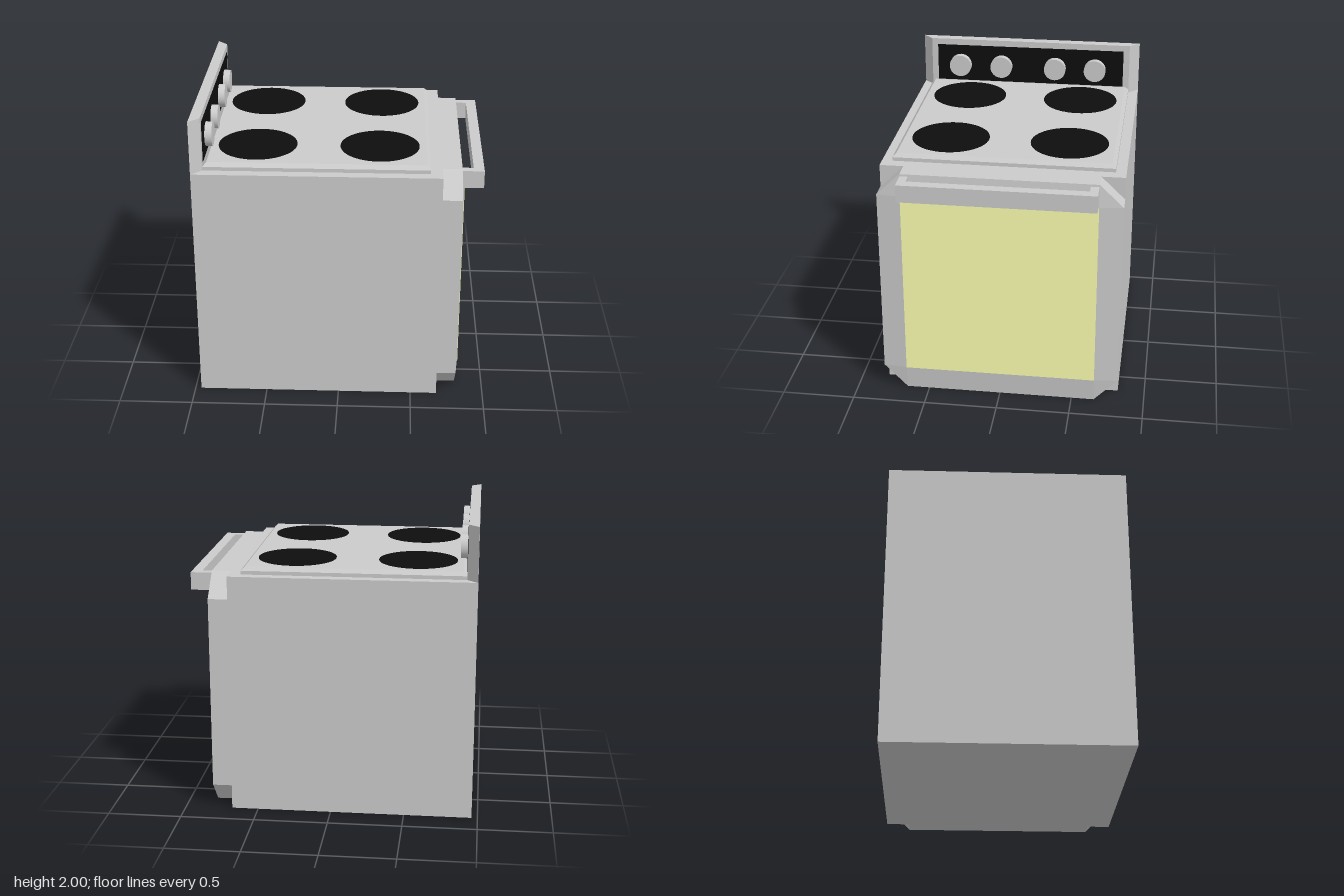
import * as THREE from 'three';
import { ConvexGeometry } from 'three/addons/geometries/ConvexGeometry.js';

export function createModel() {
  const group = new THREE.Group();
  const grey = new THREE.MeshStandardMaterial({ color: 0xcccccc });
  const black = new THREE.MeshStandardMaterial({ color: 0x0e0e0e });
  const yellow = new THREE.MeshStandardMaterial({ color: 0xfbffae });

  const add = (name, geometry, material = grey, parent = group) => {
    const mesh = new THREE.Mesh(geometry, material);
    mesh.name = name;
    parent.add(mesh);
    return mesh;
  };
  // Box given by its minimum and maximum corners
  const box = (x0, x1, y0, y1, z0, z1) =>
    new THREE.BoxGeometry(x1 - x0, y1 - y0, z1 - z0)
      .translate((x0 + x1) / 2, (y0 + y1) / 2, (z0 + z1) / 2);
  const v = (x, y, z) => new THREE.Vector3(x, y, z);

  // Oven cabinet
  const top = 1.635, half = 0.815;
  add('body', box(-0.96, 0.68, 0, top, -half, half));

  // Backsplash with slanted ends
  const splash = [];
  for (const y of [top, 2]) for (const s of [-1, 1]) {
    splash.push(v(-0.96, y, s * half), v(-0.89, y, s * 0.745));
  }
  add('backsplash', new ConvexGeometry(splash));
  add('controlPanel', box(-0.9, -0.887, 1.68, 1.955, -0.7, 0.7), black);

  // Control knobs
  const knobs = new THREE.Group();
  knobs.name = 'knobs';
  group.add(knobs);
  for (const z of [0.525, 0.215, -0.19, -0.49]) {
    const knob = add('knob', new THREE.CylinderGeometry(0.081, 0.081, 0.05, 32), grey, knobs);
    knob.rotation.z = -Math.PI / 2;
    knob.position.set(-0.865, 1.805, z);
  }

  // Raised cooktop with a bevelled rim
  const cooktop = [];
  for (const [y, inset] of [[top, 0], [1.66, 0], [1.685, 0.025]]) {
    for (const x of [-0.89 + inset, 0.6 - inset]) {
      for (const s of [-1, 1]) cooktop.push(v(x, y, s * (0.745 - inset)));
    }
  }
  add('cooktop', new ConvexGeometry(cooktop));

  // Four burners
  for (const x of [-0.555, 0.265]) for (const z of [-0.41, 0.405]) {
    add('burner', new THREE.CylinderGeometry(0.265, 0.265, 0.006, 48), black)
      .position.set(x, 1.685, z);
  }

  // Oven door: octagonal slab with a slightly proud rectangular centre
  const low = 0.165, high = 1.48, side = 0.655;
  const door = [];
  for (const s of [-1, 1]) {
    for (const x of [0.68, 0.81]) {
      door.push(v(x, 0, s * side), v(x, low, s * half), v(x, high, s * half), v(x, top, s * side));
    }
    door.push(v(0.825, low, s * side), v(0.825, high, s * side));
  }
  add('door', new ConvexGeometry(door));
  add('doorWindow', box(0.81, 0.828, low, high, -side, side), yellow);

  // Door handle: bar on two arms
  const handle = new THREE.Group();
  handle.name = 'handle';
  group.add(handle);
  add('handleBar', box(0.885, 0.955, 1.5, 1.62, -0.653, 0.653), grey, handle);
  for (const s of [-1, 1]) {
    add('handleArm', box(0.8, 0.885, 1.5, 1.62, s * 0.625 - 0.028, s * 0.625 + 0.028), grey, handle);
  }

  return group;
}
